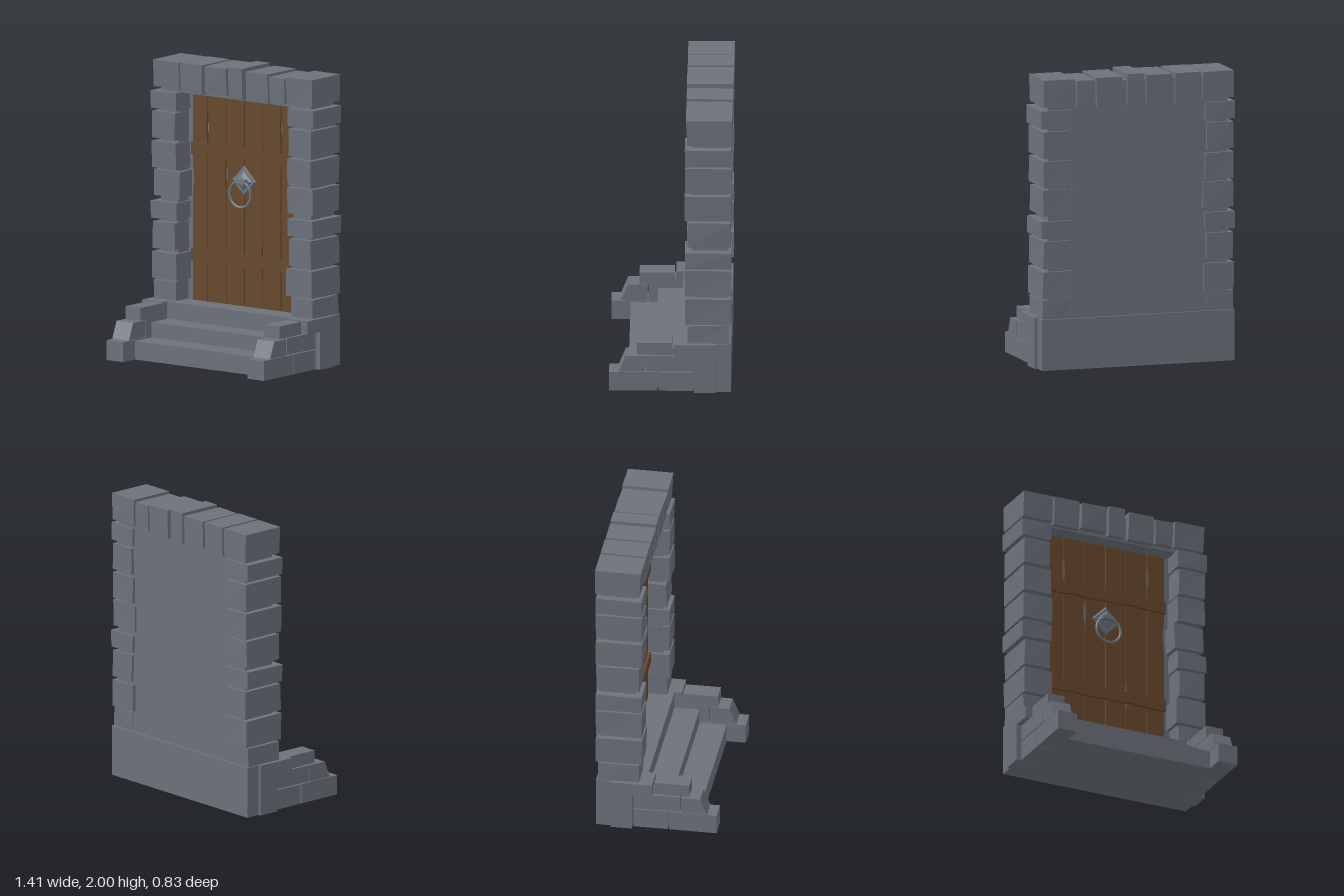
import * as THREE from 'three';

const mat = (name, color) => {
  const m = new THREE.MeshStandardMaterial({ color });
  m.name = name;
  return m;
};

export function createModel() {
  const stone = mat('stone grey', 0x6c717b);
  const wood = mat('door brown', 0x66482b);
  const iron = mat('iron grey', 0x6f7780);
  const root = new THREE.Group();
  root.name = 'stoneDoorway';

  let seed = 7;
  const rand = () => ((seed = (seed * 16807) % 2147483647) / 2147483647) * 2 - 1;

  const add = (name, geo, material, parent = root) => {
    const flat = geo.index ? geo.toNonIndexed() : geo;
    flat.computeVertexNormals();
    const m = new THREE.Mesh(flat, material);
    m.name = name;
    parent.add(m);
    return m;
  };

  // Box from its limits; each of the eight corners is nudged for a hewn look
  const block = (name, [x0, x1], [y0, y1], [z0, z1], rough = 0, mod = null) => {
    const g = new THREE.BoxGeometry(x1 - x0, y1 - y0, z1 - z0);
    const p = g.attributes.position;
    const nudge = Array.from({ length: 8 }, () => [rand() * rough, rand() * rough * 0.5, rand() * rough * 0.6]);
    for (let i = 0; i < p.count; i++) {
      const sx = p.getX(i) > 0, sy = p.getY(i) > 0, sz = p.getZ(i) > 0;
      const n = nudge[sx * 1 + sy * 2 + sz * 4];
      const extra = mod ? mod(sx, sy, sz) : 0;
      p.setXYZ(i, (sx ? x1 : x0) + n[0], (sy ? y1 : y0) + n[1], (sz ? z1 : z0) + n[2] + extra);
    }
    return add(name, g, stone);
  };
  const mirrored = (side, [a, b]) => (side > 0 ? [a, b] : [-b, -a]);

  // Wall behind the door and the core that shows in the joints
  block('backWall', [-0.5, 0.5], [0.3, 1.8], [-0.39, -0.255]);
  block('lintelCore', [-0.64, 0.64], [1.775, 1.955], [-0.39, -0.15]);
  for (const s of [1, -1]) block('jambCore', mirrored(s, [0.49, 0.64]), [0.34, 1.8], [-0.39, -0.145]);

  // Jamb stones: bottom, top, inner x, outer x, front z, back z
  const jamb = [
    [0.35, 0.48, 0.49, 0.678, -0.115, -0.395],
    [0.49, 0.675, 0.468, 0.68, -0.095, -0.41],
    [0.697, 0.882, 0.485, 0.674, -0.097, -0.41],
    [0.903, 1.02, 0.475, 0.69, -0.097, -0.41],
    [1.055, 1.233, 0.459, 0.675, -0.115, -0.405],
    [1.25, 1.43, 0.475, 0.677, -0.095, -0.41],
    [1.452, 1.635, 0.485, 0.675, -0.097, -0.41],
    [1.655, 1.775, 0.477, 0.69, -0.097, -0.41],
  ];
  for (const s of [1, -1])
    for (const [y0, y1, xi, xo, zf, zb] of jamb)
      block('jambStone', mirrored(s, [xi, xo]), [y0, y1], [zb, zf], 0.004);

  // Lintel stones, leaning slightly forward at the top
  const lintel = [
    [-0.678, -0.458, 1.802, 1.985], [-0.445, -0.261, 1.787, 1.988],
    [-0.242, -0.055, 1.8, 1.985], [-0.037, 0.08, 1.787, 2],
    [0.112, 0.3, 1.787, 1.985], [0.314, 0.44, 1.797, 1.972],
    [0.455, 0.676, 1.802, 1.985],
  ];
  for (const [x0, x1, y0, y1] of lintel)
    block('lintelStone', [x0, x1], [y0, y1], [-0.415, -0.102], y1 === 2 ? 0 : 0.003,
      (sx, sy, sz) => (sz && !sy ? -0.01 : 0));

  // Base and three steps
  block('backBase', [-0.685, 0.685], [0, 0.348], [-0.407, -0.3]);
  [[0.127, 0.285], [0.23, 0.1], [0.348, -0.072]].forEach(([h, z]) =>
    block('step', [-0.54, 0.54], [0, h], [-0.302, z]));

  // Stepped side walls
  for (const s of [1, -1]) {
    const w = mirrored(s, [0.53, 0.672]);
    block('sideWallFoot', w, [0, 0.136], [0.091, 0.415]);
    block('sideWallFoot', w, [0, 0.136], [-0.153, 0.083]);
    block('sideWallSlope', w, [0.139, 0.253], [0.172, 0.35], 0,
      (sx, sy, sz) => (sz && sy ? -0.047 : 0));
    block('sideWallMiddle', w, [0.143, 0.255], [-0.153, 0.165]);
    block('sideWallCap', mirrored(s, [0.53, 0.655]), [0.257, 0.344], [-0.013, 0.225]);
    block('sideWallRearCap', mirrored(s, [0.53, 0.705]), [0.26, 0.35], [-0.308, -0.022]);
    block('sideWallPillar', mirrored(s, [0.53, 0.705]), [0, 0.26], [-0.305, -0.158]);
    block('sideWallCore', mirrored(s, [0.532, 0.645]), [0.01, 0.3], [-0.3, 0.16]);
  }

  // Door planks with worn edges
  const extrude = (name, pts, z, depth, material) => {
    const g = new THREE.ExtrudeGeometry(new THREE.Shape(pts.map(([x, y]) => new THREE.Vector2(x, y))),
      { depth, bevelEnabled: false });
    add(name, g, material).position.z = z;
  };
  const edges = [-0.442, -0.313, -0.155, 0, 0.152, 0.312, 0.44];
  const wearY = [1.18, 1.54, 1.24, 0.9, 0.68, 1.6, 1.18]; // height of the worn spot on each edge
  const wear = [0.01, 0.008, 0.01, 0.001, 0.008, 0.009, 0.01];
  const sideEdge = (i, dir) => {
    const x = edges[i] + dir * 0.003;
    return [[x, 0.348], [x, wearY[i] - 0.11], [x + dir * wear[i], wearY[i]], [x, wearY[i] + 0.1], [x, 1.765]];
  };
  for (let i = 0; i < 6; i++)
    extrude('doorPlank', [...sideEdge(i + 1, -1), ...sideEdge(i, 1).reverse()], -0.26, 0.022, wood);

  // Cross boards with wavy outlines
  const xs = [-0.443, -0.31, -0.24, -0.17, -0.03, 0.12, 0.18, 0.3, 0.443];
  for (const [y0, y1] of [[0.62, 0.703], [1.347, 1.43]]) {
    const lower = xs.map((x, i) => [x, y0 + [0, 0, 0.008, -0.002, 0.004, 0, 0.008, 0, -0.003][i]]);
    const upper = xs.map((x, i) => [x, y1 - [0, 0, 0.009, 0, 0.003, 0, 0.01, 0.002, 0][i]]);
    extrude('crossBoard', [...lower, ...upper.reverse()], -0.245, 0.026, wood);
  }

  // Ring handle on a diamond plate
  const handle = new THREE.Group();
  handle.name = 'doorHandle';
  handle.position.set(0, 1.207, -0.24);
  root.add(handle);
  const diamond = (name, top, bottom, depth, z) =>
    add(name, new THREE.CylinderGeometry(top, bottom, depth, 4).rotateX(Math.PI / 2), iron, handle).position.z = z;
  diamond('handlePlate', 0.092, 0.106, 0.014, 0.007);
  diamond('handleBoss', 0.03, 0.078, 0.022, 0.022);
  const bracket = add('handleBracket', new THREE.BoxGeometry(0.085, 0.026, 0.04), iron, handle);
  bracket.position.set(0, 0.003, 0.042);
  const ring = new THREE.Mesh(new THREE.TorusGeometry(0.09, 0.0095, 8, 32), iron);
  ring.name = 'handleRing';
  ring.position.set(0, -0.086, 0.05);
  handle.add(ring);

  return root;
}
